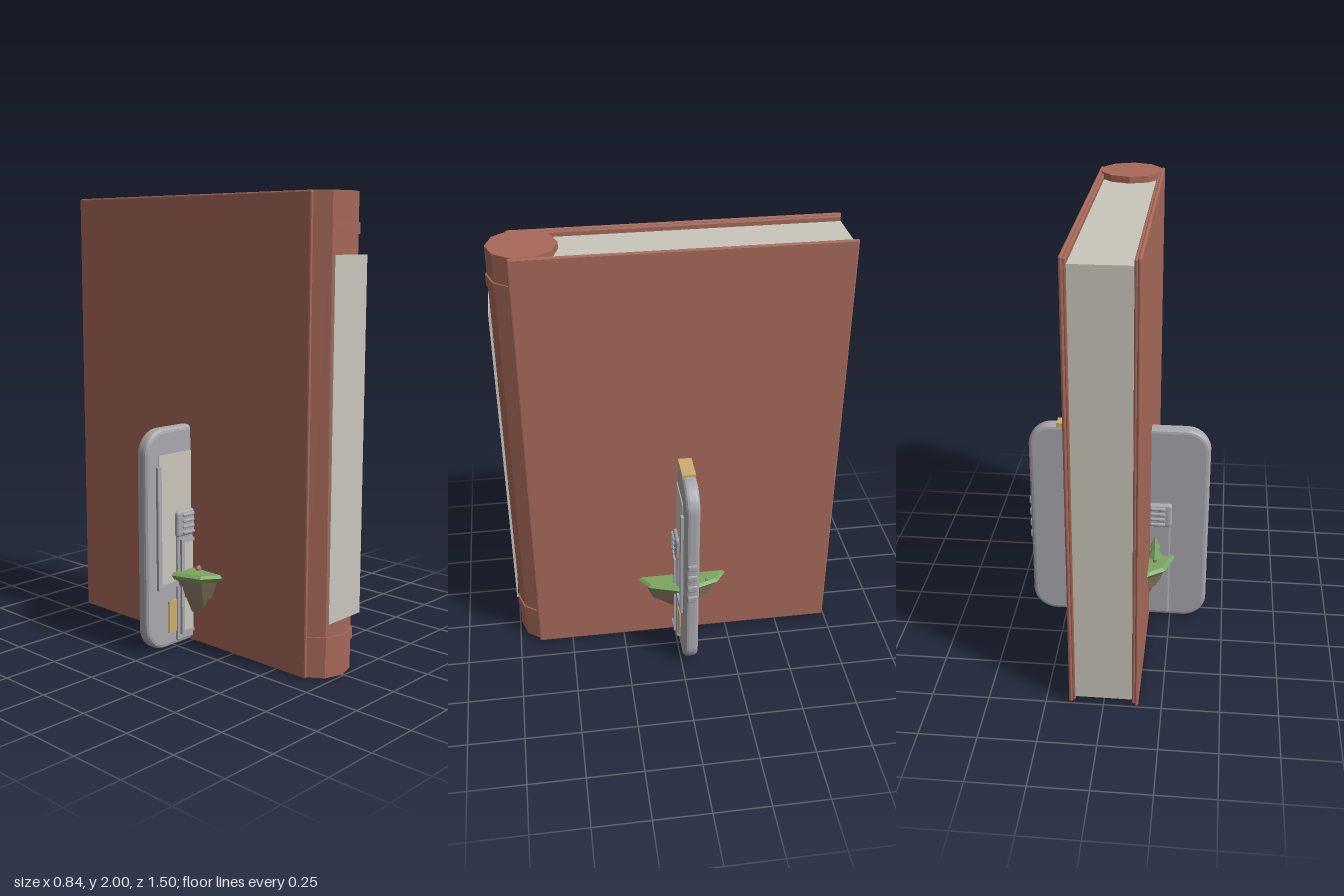
import * as THREE from 'three';
import { RoundedBoxGeometry } from 'three/addons/geometries/RoundedBoxGeometry.js';

const mat = (name, color, flat = true) => {
  const m = new THREE.MeshStandardMaterial({ color, flatShading: flat });
  m.name = name;
  return m;
};

export function createModel() {
  const root = new THREE.Group();
  const leather = mat('leather', 0xa8695a);
  const paper = mat('paper', 0xc9c6bb);
  const grey = mat('grey plastic', 0xa8a8ae);
  const gold = mat('gold', 0xcbad6c);
  const grass = mat('grass', 0x7aa660);
  const rock = mat('rock', 0x927f6b);
  const pink = mat('pink', 0xb0746c);

  const add = (parent, name, geo, material, x = 0, y = 0, z = 0) => {
    const mesh = new THREE.Mesh(geo, material);
    mesh.name = name;
    mesh.position.set(x, y, z);
    parent.add(mesh);
    return mesh;
  };
  // Box given by its limits
  const box = (parent, name, material, x0, x1, y0, y1, z0, z1) =>
    add(parent, name, new THREE.BoxGeometry(x1 - x0, y1 - y0, z1 - z0), material,
      (x0 + x1) / 2, (y0 + y1) / 2, (z0 + z1) / 2);
  const group = (name) => {
    const g = new THREE.Group();
    g.name = name;
    root.add(g);
    return g;
  };

  // Book: page block, two layered covers, ten-sided spine with bands and label
  const book = group('book');
  box(book, 'pages', paper, -0.122, 0.122, 0.03, 1.97, -0.74, 0.52);
  for (const s of [-1, 1]) {
    add(book, 'cover', new RoundedBoxGeometry(0.016, 2, 1.405, 1, 0.007), leather, s * 0.142, 1, -0.0425);
    add(book, 'coverLining', new RoundedBoxGeometry(0.014, 1.985, 1.39, 1, 0.005), leather, s * 0.129, 1, -0.045);
  }
  add(book, 'spine', new THREE.CylinderGeometry(0.145, 0.145, 2, 10), leather, 0, 1, 0.598);
  for (const y of [0.155, 1.855])
    add(book, 'spineBand', new THREE.CylinderGeometry(0.152, 0.152, 0.048, 10), leather, 0, y, 0.598);
  box(book, 'spineLabel', paper, -0.11, 0.1, 0.25, 1.75, 0.745, 0.75);

  // Handheld device: rounded slab passing through the book
  const device = group('device');
  const w = 0.395, b = 0.02, r = 0.09, y0 = b, y1 = 1 - b;
  const outline = new THREE.Shape();
  outline.moveTo(-w + r, y0);
  outline.lineTo(w - r, y0);
  outline.absarc(w - r, y0 + r, r, -Math.PI / 2, 0);
  outline.absarc(w - r, y1 - r, r, 0, Math.PI / 2);
  outline.absarc(-w + r, y1 - r, r, Math.PI / 2, Math.PI);
  outline.absarc(-w + r, y0 + r, r, Math.PI, Math.PI * 1.5);
  const slab = new THREE.ExtrudeGeometry(outline, {
    depth: 0.025, bevelThickness: b, bevelSize: b, bevelSegments: 3, curveSegments: 8,
  });
  add(device, 'deviceBody', slab, grey, -0.003, 0, -0.055);
  box(device, 'screen', paper, -0.345, 0.325, 0.28, 0.885, -0.012, -0.007);
  box(device, 'topContact', gold, 0.0, 0.28, 0.985, 1.01, -0.073, -0.012);
  for (const y of [0.415, 0.475, 0.535, 0.595])
    add(device, 'sideButton', new RoundedBoxGeometry(0.03, 0.034, 0.045, 1, 0.006), grey, 0.403, y, -0.042);
  for (const s of [-1, 1]) {
    const cx = -0.005;
    // Raised L-shaped trim beside the screen
    box(device, 'screenTrim', grey, cx + s * 0.345 - 0.011, cx + s * 0.345 + 0.011, 0.28, 0.835, -0.012, 0.003);
    box(device, 'lowerTrim', grey, cx + s * 0.295 - 0.055, cx + s * 0.295 + 0.055, 0.278, 0.302, -0.012, 0.003);
    box(device, 'goldContact', gold, cx + s * 0.264 - 0.024, cx + s * 0.264 + 0.024, 0.07, 0.215, -0.012, -0.003);
  }

  // Cartridge: clasped over both faces of the device
  const cartridge = group('cartridge');
  add(cartridge, 'cartridgeBody', new RoundedBoxGeometry(0.48, 0.53, 0.09, 1, 0.008), grey, -0.005, 0.285, -0.042);
  add(cartridge, 'grip', new RoundedBoxGeometry(0.49, 0.12, 0.105, 2, 0.015), grey, -0.005, 0.562, -0.042);
  for (const y of [0.52, 0.547, 0.574, 0.601])
    for (const s of [-1, 1])
      add(cartridge, 'gripRib', new RoundedBoxGeometry(0.07, 0.015, 0.124, 1, 0.006), grey,
        -0.005 + s * 0.18, y, -0.042);
  box(cartridge, 'windowPane', paper, -0.21, 0.2, 0.06, 0.475, 0.002, 0.006);
  for (const s of [-1, 1])
    box(cartridge, 'windowFrame', grey, -0.005 + s * 0.215 - 0.009, -0.005 + s * 0.215 + 0.009, 0.05, 0.49, 0, 0.014);
  for (const y of [0.05, 0.475])
    box(cartridge, 'windowFrame', grey, -0.22, 0.21, y, y + 0.015, 0, 0.014);

  // Floating island: grassy slab over tiers of faceted rock
  const island = group('island');
  island.position.set(-0.007, 0, -0.032);
  const tier = (name, material, top, bottom, yTop, yBottom, sides = 10) => {
    const m = add(island, name, new THREE.CylinderGeometry(top, bottom, yTop - yBottom, sides),
      material, 0, (yTop + yBottom) / 2, 0);
    m.rotation.y = Math.PI / 10;
    return m;
  };
  tier('grassTop', grass, 0.262, 0.275, 0.345, 0.332);
  tier('grassEdge', grass, 0.275, 0.258, 0.332, 0.31);
  tier('upperRock', rock, 0.25, 0.215, 0.315, 0.22);
  tier('middleRock', rock, 0.205, 0.165, 0.225, 0.14);
  tier('lowerRock', rock, 0.16, 0.125, 0.145, 0.085);
  tier('rockTip', rock, 0.125, 0.05, 0.09, 0.005, 7);

  // Small plants on the grass
  const tree = group('tree');
  tree.position.set(-0.178, 0.34, -0.14);
  add(tree, 'trunk', new THREE.CylinderGeometry(0.008, 0.01, 0.05, 6), rock, 0, 0.02, 0);
  [[0.036, 0.07, 0.07], [0.026, 0.06, 0.115]].forEach(([rad, h, y]) =>
    add(tree, 'foliage', new THREE.ConeGeometry(rad, h, 6), grass, 0, y, 0));
  add(root, 'bush', new THREE.IcosahedronGeometry(0.012, 0), grass, 0.21, 0.35, -0.145);
  add(root, 'flower', new THREE.IcosahedronGeometry(0.016, 0), pink, -0.16, 0.352, 0.05);
  return root;
}
